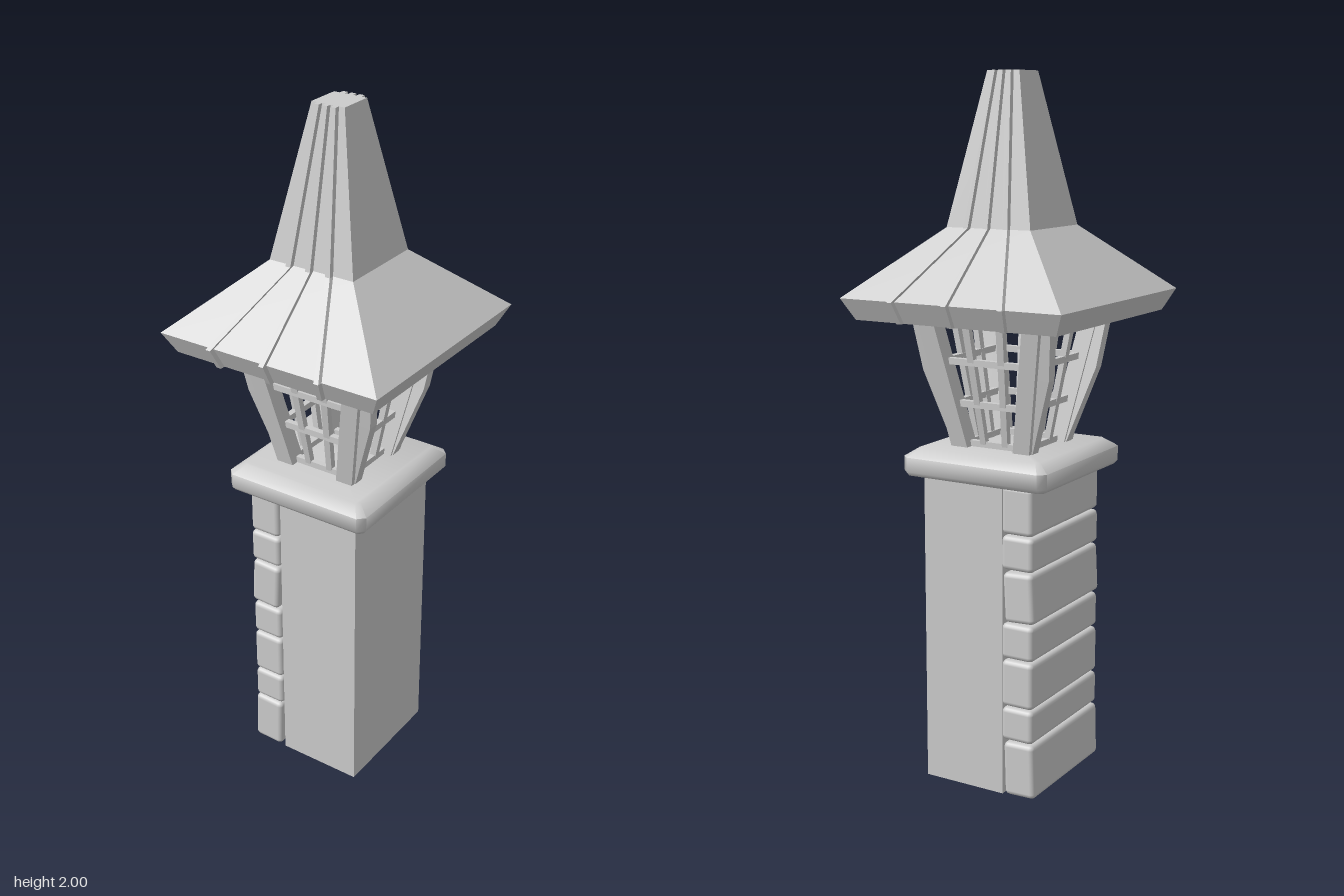
import * as THREE from 'three';
import { toCreasedNormals } from 'three/addons/utils/BufferGeometryUtils.js';
import { RoundedBoxGeometry } from 'three/addons/geometries/RoundedBoxGeometry.js';

const grey = new THREE.MeshStandardMaterial({ color: 0xcccccc });
const greyDouble = new THREE.MeshStandardMaterial({ color: 0xcccccc, side: THREE.DoubleSide });

function add(parent, name, geometry, material = grey) {
  const mesh = new THREE.Mesh(geometry, material);
  mesh.name = name;
  parent.add(mesh);
  return mesh;
}

// Horizontal rectangle at height y, counter-clockwise from above; c cuts the corners
function ring(x, y, z, hx, hz, c = 0) {
  const corners = c
    ? [[hx - c, hz], [hx, hz - c], [hx, c - hz], [hx - c, -hz],
       [c - hx, -hz], [-hx, c - hz], [-hx, hz - c], [c - hx, hz]]
    : [[hx, hz], [hx, -hz], [-hx, -hz], [-hx, hz]];
  return corners.map(([dx, dz]) => [x + dx, y, z + dz]);
}

// Joins rings from bottom to top with flat faces, optionally capped
function loft(rings, capBottom = true, capTop = true) {
  const p = [];
  const n = rings[0].length;
  const tri = (a, b, c) => p.push(...a, ...b, ...c);
  for (let i = 0; i < rings.length - 1; i++) {
    for (let j = 0; j < n; j++) {
      const k = (j + 1) % n;
      tri(rings[i][j], rings[i][k], rings[i + 1][k]);
      tri(rings[i][j], rings[i + 1][k], rings[i + 1][j]);
    }
  }
  const top = rings[rings.length - 1];
  const bottom = rings[0];
  for (let j = 1; j < n - 1; j++) {
    if (capTop) tri(top[0], top[j], top[j + 1]);
    if (capBottom) tri(bottom[0], bottom[j + 1], bottom[j]);
  }
  const g = new THREE.BufferGeometry();
  g.setAttribute('position', new THREE.Float32BufferAttribute(p, 3));
  g.computeVertexNormals();
  return g;
}

export function createModel() {
  const model = new THREE.Group();
  model.name = 'lanternPillar';

  // Pillar shaft, open underneath
  add(model, 'pillar', loft([ring(0.051, 0, 0, 0.127, 0.185), ring(0.051, 0.92, 0, 0.127, 0.185)], false), greyDouble);

  // Stacked stones on one side: bottom, top, centre x, width, tilt
  const stones = new THREE.Group();
  stones.name = 'stones';
  model.add(stones);
  [
    [0.005, 0.163, -0.132, 0.096, -0.03],
    [0.168, 0.265, -0.126, 0.099, 0],
    [0.269, 0.404, -0.126, 0.099, 0],
    [0.409, 0.511, -0.126, 0.099, 0],
    [0.516, 0.659, -0.13, 0.094, -0.05],
    [0.665, 0.762, -0.126, 0.099, 0],
    [0.766, 0.902, -0.126, 0.097, 0],
  ].forEach(([y0, y1, x, width, tilt]) => {
    const stone = add(stones, 'stone', new RoundedBoxGeometry(width, y1 - y0, 0.388, 2, 0.014));
    stone.position.set(x, (y0 + y1) / 2, 0);
    stone.rotation.z = tilt;
  });

  // Cap slab with soft bevels
  const cap = loft([
    ring(0, 0.9, 0, 0.218, 0.218, 0.012),
    ring(0, 0.912, 0, 0.228, 0.228, 0.02),
    ring(0, 0.953, 0, 0.228, 0.228, 0.02),
    ring(0, 0.977, 0, 0.193, 0.193, 0.01),
  ]);
  add(model, 'cap', toCreasedNormals(cap, 1.0));

  // Lantern corner posts, each with a bowed strip on its outer side
  const posts = new THREE.Group();
  posts.name = 'cornerPosts';
  model.add(posts);
  for (const sx of [-1, 1]) {
    for (const sz of [-1, 1]) {
      add(posts, 'post', loft([
        ring(sx * 0.098, 0.97, sz * 0.098, 0.026, 0.026),
        ring(sx * 0.168, 1.345, sz * 0.168, 0.026, 0.026),
      ]));
      add(posts, 'bowedStrip', loft([
        ring(sx * 0.112, 0.97, sz * 0.094, 0.014, 0.016),
        ring(sx * 0.182, 1.19, sz * 0.135, 0.018, 0.016),
        ring(sx * 0.202, 1.345, sz * 0.163, 0.018, 0.016),
      ]));
    }
  }

  // Lattice window, repeated on four sides
  const depth = (y) => 0.093 + (y - 0.98) * 0.18;
  for (let side = 0; side < 4; side++) {
    const lattice = new THREE.Group();
    lattice.name = 'lattice';
    lattice.rotation.y = side * Math.PI / 2;
    model.add(lattice);
    for (const s of [-1, 1]) {
      add(lattice, 'uprightBar', loft([
        ring(s * 0.034, 0.97, depth(0.97), 0.009, 0.009),
        ring(s * 0.055, 1.345, depth(1.345), 0.011, 0.009),
      ]));
    }
    for (const y of [0.985, 1.1, 1.22, 1.332]) {
      add(lattice, 'crossBar', new THREE.BoxGeometry(2 * depth(y), 0.018, 0.018)).position.set(0, y, depth(y));
    }
  }

  // Roof: undercut eave, wide skirt, steep spire
  const profile = [[1.34, 0.31], [1.4, 0.34], [1.585, 0.131], [2, 0.05]];
  add(model, 'roof', loft(profile.map(([y, h]) => ring(0, y, 0, h, h))));

  // Three ribs running down the front and back of the roof
  const ribX = [0.16, 0.17, 0.062, 0.025];
  for (const sz of [-1, 1]) {
    for (const sx of [-1, 0, 1]) {
      add(model, 'roofRib', loft(profile.map(([y, h], i) =>
        ring(sx * ribX[i], y, sz * (h - 0.002), 0.0075, 0.017))));
    }
  }
  return model;
}
